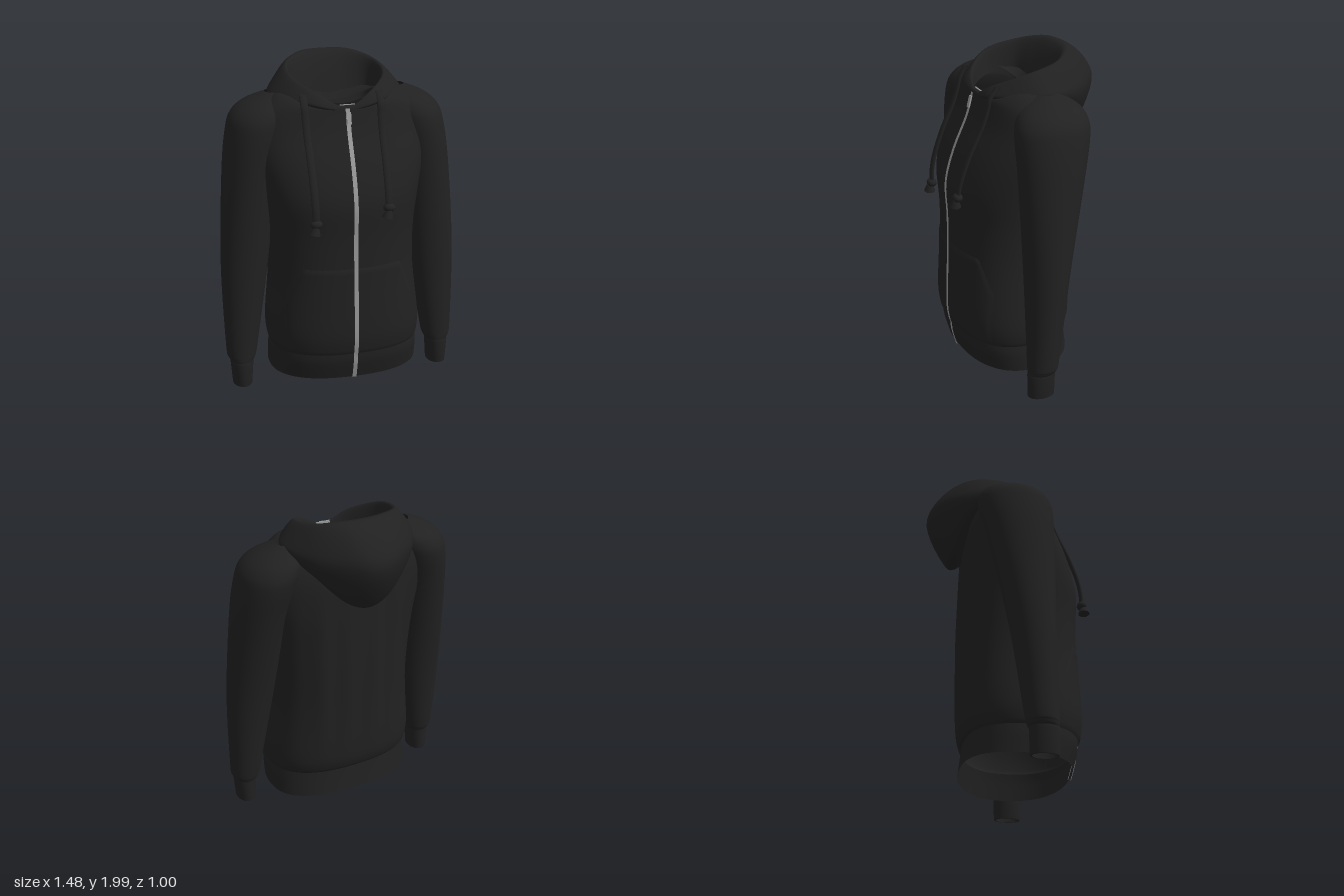
import * as THREE from 'three';

const fabric = new THREE.MeshStandardMaterial({ color: 0x212121, side: THREE.DoubleSide });
fabric.name = 'blackFabric';
const metal = new THREE.MeshStandardMaterial({ color: 0x9a9a9a, side: THREE.DoubleSide });
metal.name = 'zipperGrey';

// Surface through rows of points; closed rows wrap round
function loft(rows, closed = true) {
  const n = rows[0].length, index = [];
  for (let r = 0; r < rows.length - 1; r++) {
    for (let i = 0; i < (closed ? n : n - 1); i++) {
      const j = (i + 1) % n, a = r * n + i, b = r * n + j;
      index.push(a, a + n, b, b, a + n, b + n);
    }
  }
  const g = new THREE.BufferGeometry().setFromPoints(rows.flat());
  g.setIndex(index);
  g.computeVertexNormals();
  return g;
}

function part(name, geometry, material = fabric) {
  const m = new THREE.Mesh(geometry, material);
  m.name = name;
  return m;
}

// Catmull-Rom smoothing of number rows; missing end values count as zero
function densify(rows, steps) {
  const out = [], last = rows.length - 1, size = Math.max(...rows.map(r => r.length));
  for (let k = 0; k <= last * steps; k++) {
    const i = Math.min(Math.floor(k / steps), last - 1), t = k / steps - i;
    out.push(Array.from({ length: size }, (_, q) => {
      const [a, b, c, d] = [Math.max(i - 1, 0), i, i + 1, Math.min(i + 2, last)].map(r => rows[r][q] ?? 0);
      return b + 0.5 * t * (c - a + t * (2 * a - 5 * b + 4 * c - d + t * (3 * (b - c) + d - a)));
    }));
  }
  return out;
}

// Superellipse ring: y, half width, front z, back z, front lift, back lift
const POWER = 2.4;
function ring([y, hw, zf, zb, df = 0, db = 0], cx, fold = 0, power = POWER) {
  const pts = [], mid = (zf + zb) / 2, half = (zf - zb) / 2;
  for (let i = 0; i < 80; i++) {
    const a = i / 80 * Math.PI * 2, c = Math.cos(a), s = Math.sin(a);
    const x = hw * Math.sign(c) * Math.abs(c) ** (2 / power);
    let z = mid + half * Math.sign(s) * Math.abs(s) ** (2 / power);
    if (s < 0) z += fold * s * s * Math.cos(x * 38);
    pts.push(new THREE.Vector3(cx + x, y + s * s * (s > 0 ? df : db), z));
  }
  return pts;
}

const HEM = densify([
  [0.09, 0.468, 0.39, -0.265, 0, 0.03],
  [0.2, 0.468, 0.42, -0.254, 0, 0.015],
  [0.262, 0.462, 0.425, -0.248, 0, 0.02],
], 4);
const BODY = densify([
  [0.262, 0.462, 0.425, -0.248, 0, 0.02],
  [0.3, 0.474, 0.437, -0.266, 0, 0.012],
  [0.42, 0.478, 0.448, -0.285],
  [0.75, 0.445, 0.435, -0.288],
  [1.0, 0.45, 0.43, -0.288],
  [1.22, 0.478, 0.436, -0.284],
  [1.42, 0.515, 0.38, -0.28],
  [1.6, 0.525, 0.298, -0.272],
  [1.71, 0.5, 0.262, -0.25],
  [1.775, 0.44, 0.25, -0.22, -0.02],
  [1.825, 0.36, 0.235, -0.18, -0.06, -0.04],
  [1.815, 0.265, 0.226, -0.125, -0.05, -0.1],
], 4);
const FRONT = [...HEM, ...BODY.slice(1)];
// The lower body hangs slightly to one side
const sway = y => 0.02 * Math.max(0, 1 - y / 1.2);

// Depth of the body's front surface at x, y
function frontZ(x, y) {
  let i = 0;
  while (i < FRONT.length - 6 && FRONT[i + 1][0] < y) i++;
  const t = (y - FRONT[i][0]) / (FRONT[i + 1][0] - FRONT[i][0]);
  const [, hw, zf, zb] = FRONT[i].map((v, q) => v + t * (FRONT[i + 1][q] - v));
  const u = Math.min(Math.abs((x - sway(y)) / hw), 1);
  return (zf + zb) / 2 + (zf - zb) / 2 * (1 - u ** POWER) ** (1 / POWER);
}

// Zipper strip down the front, up to a given height
function zipperStrip(top, lift) {
  const rows = [];
  for (let k = 0; k <= 60; k++) {
    const t = k / 60, y = 0.092 + (top - 0.092) * t, x = 0.01 * (1 - t);
    rows.push([-1, 1].map(s => new THREE.Vector3(x + s * 0.013, y, frontZ(x, y) + lift)));
  }
  return loft(rows, false);
}

function makePocket() {
  const rows = [];
  for (let j = 0; j <= 24; j++) {
    const y = 0.29 + 0.54 * j / 24;
    const half = 0.4 - Math.max(0, y - 0.6) * 0.43;
    const row = [];
    for (let i = 0; i <= 40; i++) {
      const x = half * (i / 20 - 1);
      const edge = i === 0 || i === 40 || j === 24;
      row.push(new THREE.Vector3(x, y, frontZ(x, y) + (edge ? -0.004 : 0.006)));
    }
    rows.push(row);
  }
  return part('frontPocket', loft(rows, false));
}

// Left arm rows: y, half width, front z, back z, centre x
const CUFF = [
  [0.008, 0.048, 0.19, 0.05, 0.637],
  [0.01, 0.059, 0.205, 0.037, 0.637],
  [0.15, 0.07, 0.207, 0.035, 0.637],
  [0.168, 0.07, 0.203, 0.033, 0.636],
];
const SLEEVE = densify([
  [0.168, 0.07, 0.203, 0.033, 0.636],
  [0.19, 0.083, 0.204, 0.022, 0.636],
  [0.27, 0.098, 0.204, 0.008, 0.632],
  [0.8, 0.144, 0.204, -0.065, 0.594],
  [1.35, 0.162, 0.215, -0.175, 0.542],
  [1.6, 0.175, 0.215, -0.23, 0.495],
  [1.7, 0.175, 0.19, -0.228, 0.459],
  [1.765, 0.14, 0.13, -0.185, 0.415],
  [1.818, 0.06, 0.03, -0.08, 0.37],
], 5);

function makeSleeve(side) {
  const g = new THREE.Group();
  g.name = side > 0 ? 'leftSleeve' : 'rightSleeve';
  const place = rows => loft(rows.map(r => ring(r.slice(0, 4), side * r[4], 0, 2.05)));
  g.add(part('sleeve', place(SLEEVE)), part('cuff', place(CUFF)));
  return g;
}

// Hood rings from inner neck over the rim and under: front y, z; four side points x, y, z; back y, z
const HOOD = densify([
  [1.735, 0.226, 0.13, 1.75, 0.185, 0.245, 1.77, 0.02, 0.22, 1.72, -0.115, 0.12, 1.69, -0.125, 1.69, -0.125],
  [1.755, 0.24, 0.15, 1.83, 0.2, 0.278, 1.91, 0.055, 0.262, 1.958, -0.15, 0.15, 1.992, -0.26, 1.998, -0.29],
  [1.742, 0.25, 0.2, 1.785, 0.235, 0.395, 1.82, 0.0, 0.325, 1.815, -0.27, 0.125, 1.8, -0.465, 1.785, -0.502],
  [1.73, 0.24, 0.19, 1.755, 0.22, 0.385, 1.785, -0.02, 0.3, 1.68, -0.26, 0.125, 1.515, -0.355, 1.475, -0.37],
  [1.725, 0.228, 0.18, 1.745, 0.2, 0.33, 1.765, -0.02, 0.25, 1.69, -0.18, 0.13, 1.55, -0.25, 1.49, -0.27],
], 8);

function makeHood() {
  const rows = HOOD.map(r => {
    const full = [0, ...r.slice(0, -2), 0, ...r.slice(-2)], half = [];
    for (let i = 0; i < full.length; i += 3) half.push(new THREE.Vector3().fromArray(full, i));
    const other = half.slice(1, -1).reverse().map(p => new THREE.Vector3(-p.x, p.y, p.z));
    return new THREE.CatmullRomCurve3([...half, ...other], true).getPoints(80).slice(0, 80);
  });
  return part('hood', loft(rows));
}

// Flat cord with a knot and frayed tip
function makeDrawstring(name, xTop, xEnd, yEnd) {
  const g = new THREE.Group();
  g.name = name;
  const pts = [new THREE.Vector3(xTop, 1.835, 0.195)];
  for (let k = 0; k <= 10; k++) {
    const t = k / 10, y = 1.77 + (yEnd - 1.77) * t, x = xTop + (xEnd - xTop) * t;
    pts.push(new THREE.Vector3(x, y, frontZ(x, y) + 0.012 + 0.026 * t * t));
  }
  const rows = new THREE.CatmullRomCurve3(pts).getPoints(40).map(p =>
    Array.from({ length: 10 }, (_, i) => {
      const a = i / 10 * Math.PI * 2;
      return new THREE.Vector3(p.x + 0.023 * Math.cos(a), p.y, p.z + 0.012 * Math.sin(a));
    }));
  const end = pts[pts.length - 1];
  const knot = part('knot', new THREE.SphereGeometry(0.033, 16, 12));
  knot.position.copy(end);
  knot.scale.set(1.1, 0.8, 0.9);
  const tip = part('tip', new THREE.CylinderGeometry(0.018, 0.034, 0.045, 12));
  tip.position.set(end.x - 0.008, end.y - 0.035, end.z + 0.01);
  tip.rotation.z = -0.2;
  g.add(part('cord', loft(rows)), knot, tip);
  return g;
}

export function createModel() {
  const model = new THREE.Group();
  model.name = 'hoodedJacket';
  // Body with soft vertical folds in the back
  model.add(part('body', loft(BODY.map(r => {
    const t = THREE.MathUtils.clamp((r[0] - 0.35) / 1.3, 0, 1);
    return ring(r, sway(r[0]), 0.009 * Math.sin(Math.PI * t));
  }))));
  model.add(part('hemBand', loft(HEM.map(r => ring(r, sway(r[0]))))));
  model.add(makePocket(), makeHood(), makeSleeve(1), makeSleeve(-1));
  // Zipper, seen outside, inside and at the collar
  model.add(part('zipper', zipperStrip(1.755, 0.012), metal));
  model.add(part('zipperInside', zipperStrip(1.72, -0.006), metal));
  const collarTape = part('zipperCollarTape', new THREE.BoxGeometry(0.09, 0.03, 0.008), metal);
  collarTape.position.set(0.008, 1.755, 0.226);
  const pull = part('zipperPull', new THREE.BoxGeometry(0.026, 0.07, 0.009), metal);
  pull.position.set(0.003, 1.7, 0.284);
  pull.rotation.x = -0.25;
  model.add(collarTape, pull);
  model.add(makeDrawstring('rightDrawstring', -0.25, -0.235, 1.125));
  model.add(makeDrawstring('leftDrawstring', 0.205, 0.2, 1.195));
  return model;
}
